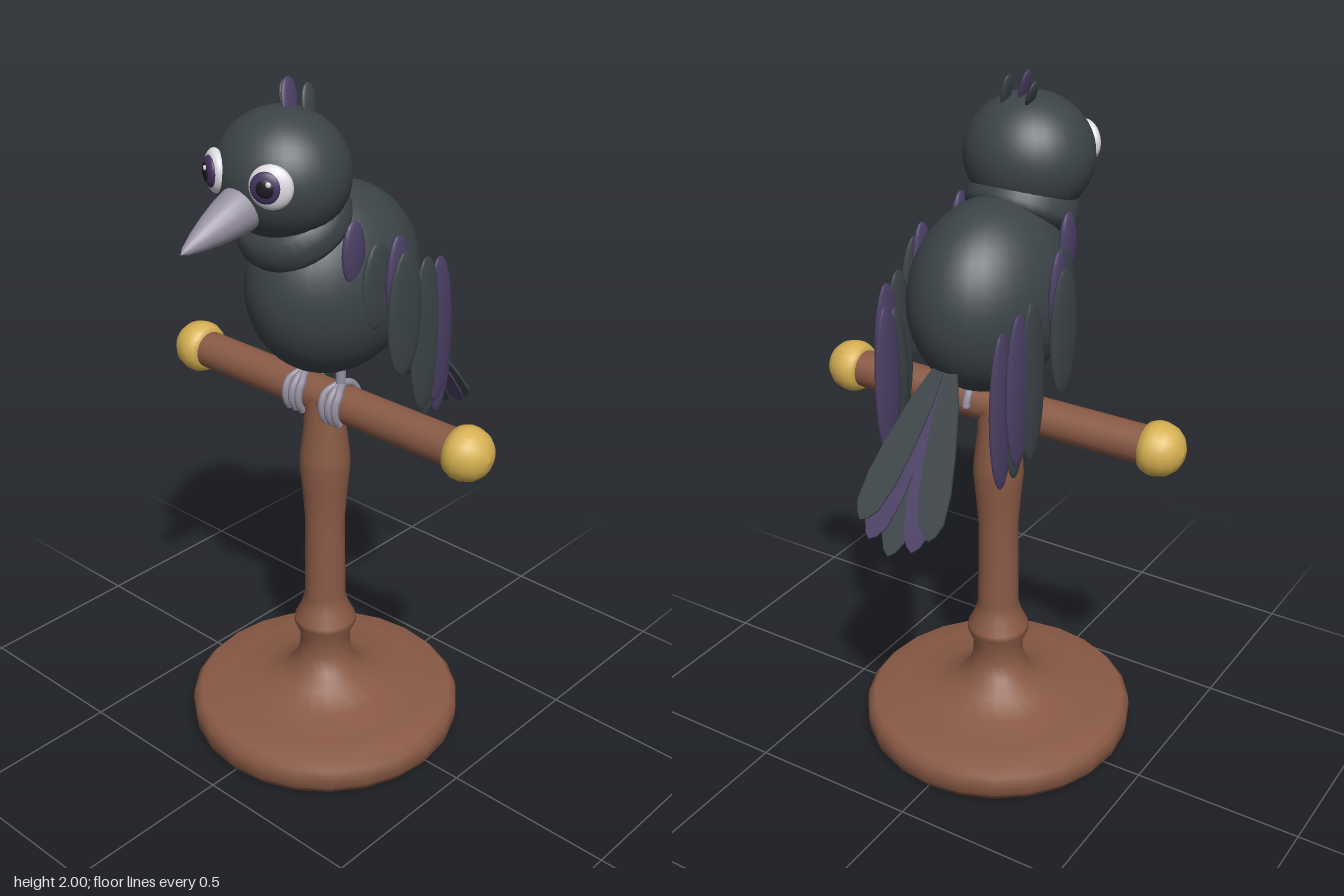
import * as THREE from 'three';

const V = (x, y, z) => new THREE.Vector3(x, y, z);
const paint = (name, color) => {
  const m = new THREE.MeshStandardMaterial({ color });
  m.name = name;
  return m;
};

export function createModel() {
  const model = new THREE.Group();
  model.name = 'birdOnPerch';
  const wood = paint('brown wood', 0x8a5a45);
  const gold = paint('gold', 0xd6b052);
  const dark = paint('charcoal plumage', 0x3c4448);
  const purple = paint('purple plumage', 0x4c4066);
  const horn = paint('grey horn', 0x9690a0);
  const white = paint('eye white', 0xdedce2);
  const iris = paint('iris violet', 0x43345f);
  const black = paint('pupil black', 0x1c1922);

  const add = (name, geo, mat, parent = model) => {
    const mesh = new THREE.Mesh(geo, mat);
    mesh.name = name;
    parent.add(mesh);
    return mesh;
  };
  const lathe = (pts, seg) => new THREE.LatheGeometry(pts.map(([r, y]) => new THREE.Vector2(r, y)), seg);
  const ball = new THREE.SphereGeometry(1, 32, 24);
  const ellipsoid = (name, mat, pos, size) => {
    const m = add(name, ball, mat);
    m.position.copy(pos);
    m.scale.copy(size);
    return m;
  };
  // Flattened ellipsoid from a to b, thin along the given direction
  const leafBall = new THREE.SphereGeometry(1, 16, 12);
  const feather = (name, mat, a, b, halfWidth, halfThick, thin) => {
    const along = b.clone().sub(a);
    const half = along.length() / 2;
    along.normalize();
    const side = along.clone().cross(thin).normalize();
    const flat = side.clone().cross(along);
    const m = add(name, leafBall, mat);
    m.quaternion.setFromRotationMatrix(new THREE.Matrix4().makeBasis(flat, along, side));
    m.position.copy(a).lerp(b, 0.5);
    m.scale.set(halfThick, half, halfWidth);
    return m;
  };

  // Turned stand
  const standZ = 0.02, barY = 1.085;
  add('stand', lathe([
    [0, 0.005], [0.385, 0.005], [0.386, 0.02], [0.398, 0.025], [0.403, 0.06], [0.4, 0.09], [0.38, 0.112],
    [0.3, 0.12], [0.2, 0.135], [0.13, 0.165], [0.09, 0.205], [0.077, 0.25], [0.073, 0.3], [0.092, 0.345],
    [0.09, 0.36], [0.07, 0.4], [0.06, 0.44], [0.058, 0.7], [0.065, 0.79], [0.073, 0.87],
    [0.071, 0.91], [0.06, 1.0], [0.055, 1.09],
  ], 24), wood).position.z = standZ;

  // Cross bar with end knobs
  const bar = add('perchBar', new THREE.CylinderGeometry(0.054, 0.054, 1, 24), wood);
  bar.rotation.z = Math.PI / 2;
  bar.position.set(0, barY, standZ);
  for (const s of [1, -1]) {
    const knob = add('perchKnob', lathe([
      [0, 0.455], [0.052, 0.457], [0.067, 0.465], [0.075, 0.485], [0.075, 0.505],
      [0.067, 0.533], [0.05, 0.554], [0.027, 0.567], [0, 0.572],
    ], 24), gold);
    knob.rotation.z = -s * Math.PI / 2;
    knob.position.set(0, barY, standZ);
  }

  // Body, collar and head
  ellipsoid('body', dark, V(0, 1.431, -0.015), V(0.207, 0.265, 0.271));
  const collar = add('neck', lathe([
    [0, -0.03], [0.12, -0.03], [0.15, -0.015], [0.158, 0.005], [0.154, 0.035], [0.14, 0.075], [0.1, 0.09], [0, 0.09],
  ], 32), dark);
  collar.position.set(0, 1.617, 0.13);
  collar.rotation.x = 0.55;
  ellipsoid('head', dark, V(0, 1.767, 0.175), V(0.181, 0.17, 0.173));

  // Beak
  const beakBase = V(0, 1.722, 0.29), beakTip = V(0, 1.645, 0.53);
  const len = beakBase.distanceTo(beakTip);
  const beakGeo = lathe([
    [0.062, 0], [0.06, 0.2], [0.053, 0.38], [0.042, 0.57], [0.028, 0.76], [0.012, 0.93], [0, 1],
  ].map(([r, t]) => [r, t * len]), 20);
  const beak = add('beak', beakGeo, horn);
  beak.position.copy(beakBase);
  beak.quaternion.setFromUnitVectors(V(0, 1, 0), beakTip.clone().sub(beakBase).normalize());

  for (const s of [1, -1]) {
    // Eye: layered discs facing outward
    const eye = new THREE.Group();
    eye.name = s > 0 ? 'leftEye' : 'rightEye';
    eye.position.set(s * 0.097, 1.784, 0.315);
    eye.lookAt(s * 0.097 + s * 0.47, 1.80, 0.315 + 0.88);
    model.add(eye);
    const disc = (name, mat, x, y, z, r, t) => {
      const m = add(name, ball, mat, eye);
      m.position.set(x, y, z);
      m.scale.set(r, r, t);
    };
    disc('eyeWhite', white, 0, 0, 0, 0.057, 0.026);
    disc('iris', iris, -s * 0.008, 0.002, 0.016, 0.041, 0.015);
    disc('pupil', black, -s * 0.008, 0.002, 0.026, 0.024, 0.008);
    disc('glint', white, -s * 0.008 + 0.01, 0.015, 0.032, 0.007, 0.004);

    // Wing: overlapping feathers [name, material, x, startZ, startY, endZ, endY, halfWidth]
    const wing = [
      ['shoulderFeather', purple, 0.168, 0.158, 1.63, 0.03, 1.51, 0.042],
      ['upperCovert', purple, 0.213, 0.055, 1.565, -0.115, 1.375, 0.046],
      ['lowerCovert', dark, 0.234, 0.1, 1.495, -0.17, 1.265, 0.068],
      ['shoulderCovert', dark, 0.19, 0.11, 1.55, -0.06, 1.38, 0.06],
      ['middleFeather', dark, 0.208, 0.02, 1.42, -0.33, 1.13, 0.062],
      ['flightFeather', purple, 0.204, -0.06, 1.42, -0.37, 1.12, 0.058],
      ['flightFeather', purple, 0.178, -0.1, 1.38, -0.41, 1.06, 0.055],
      ['innerFeather', dark, 0.186, -0.04, 1.34, -0.36, 1.085, 0.05],
    ];
    for (const [name, mat, x, z0, y0, z1, y1, w] of wing)
      feather(name, mat, V(s * x, y0, z0), V(s * x, y1, z1), w, 0.015, V(1, 0, 0));

    // Leg and gripping toes
    const leg = add('leg', new THREE.CylinderGeometry(0.014, 0.014, 0.09, 12), horn);
    leg.position.set(s * 0.068, 1.178, 0.03);
    const toe = (name, spread, from, to) => {
      const pts = [];
      for (let i = 0; i <= 8; i++) {
        const a = from + ((to - from) * i) / 8;
        pts.push(V(s * 0.068 + spread * Math.min(1, i / 3), barY + 0.061 * Math.cos(a), standZ + 0.061 * Math.sin(a)));
      }
      add(name, new THREE.TubeGeometry(new THREE.CatmullRomCurve3(pts), 16, 0.0115, 8), horn);
      const claw = add('claw', ball, horn);
      claw.position.copy(pts[8]);
      claw.scale.setScalar(0.0115);
    };
    for (const k of [-1, 0, 1]) toe('frontToe', k * 0.024, 0, 2.3);
    toe('backToe', 0, 0.1, -1.5);

    // Side crest feathers
    feather('sideCrest', dark, V(s * 0.032, 1.9, 0.145), V(s * 0.044, 1.985, 0.092), 0.028, 0.009, V(0, 0.5, 0.85));
  }
  feather('middleCrest', purple, V(0, 1.9, 0.178), V(0, 2.0, 0.118), 0.031, 0.009, V(0, 0.5, 0.85));

  // Tail fan of thin leaf-shaped feathers
  const tail = new THREE.Group();
  tail.name = 'tail';
  tail.position.set(0, 1.285, -0.24);
  tail.rotation.x = 0.61;
  model.add(tail);
  const tailFeather = (mat, x, angle, length, layer) => {
    const half = [[0.018, 0], [0.034, 0.2], [0.044, 0.5], [0.046, 0.72], [0.036, 0.9], [0.018, 0.97]];
    const outline = [
      ...half.map(([w, t]) => new THREE.Vector2(-w, -t * length)),
      new THREE.Vector2(0, -length),
      ...half.map(([w, t]) => new THREE.Vector2(w, -t * length)).reverse(),
    ];
    const geo = new THREE.ExtrudeGeometry(new THREE.Shape(outline), { depth: 0.007, bevelEnabled: false });
    const m = add('tailFeather', geo, mat, tail);
    m.position.set(x, 0, -0.005 * layer);
    m.rotation.z = angle;
  };
  tailFeather(dark, 0, 0, 0.5, 0);
  for (const s of [1, -1]) {
    tailFeather(purple, s * 0.015, s * 0.11, 0.475, 1);
    tailFeather(dark, s * 0.02, s * 0.2, 0.44, 2);
  }
  return model;
}
